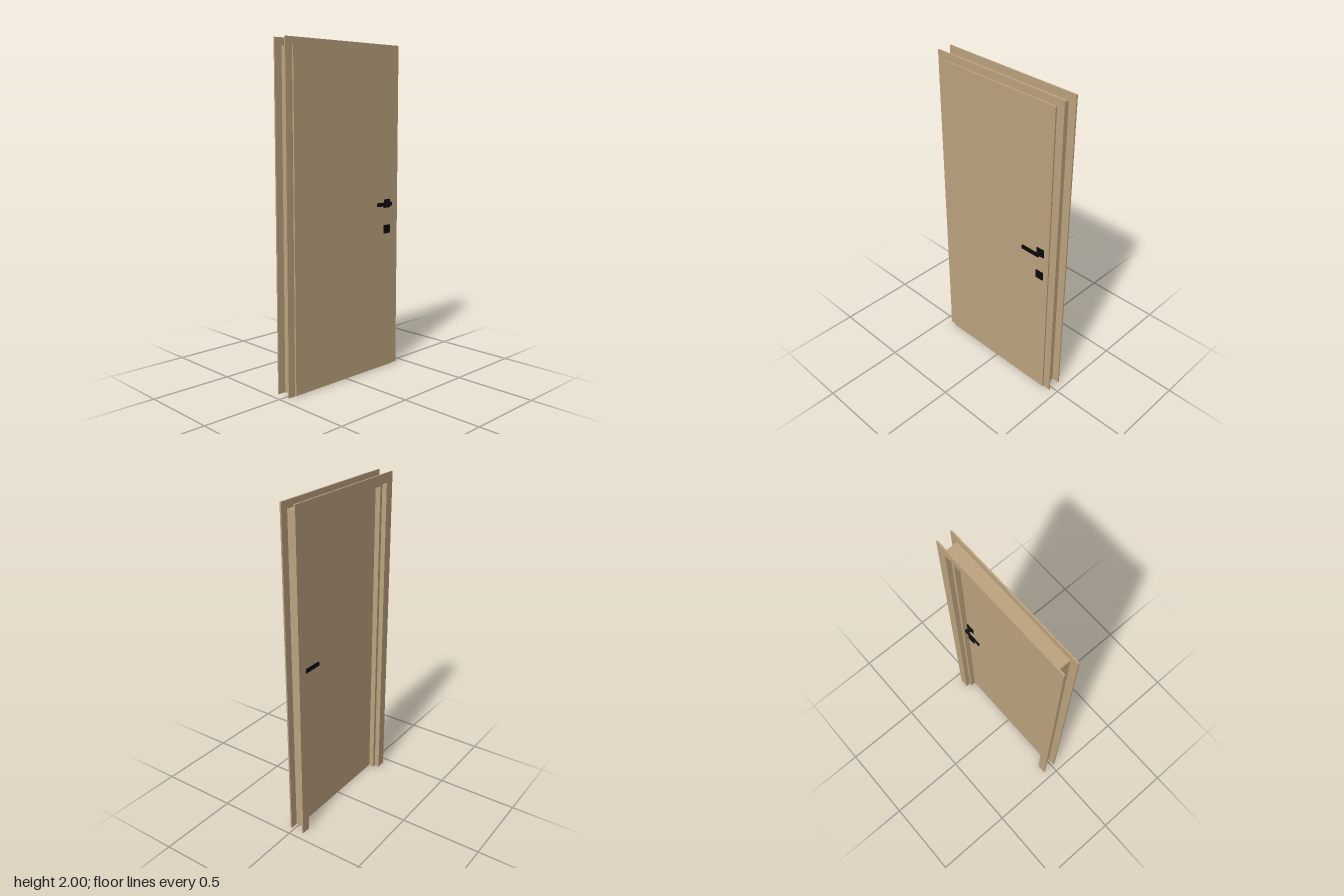
import * as THREE from 'three';

export function createModel() {
  const model = new THREE.Group();
  model.name = 'interiorDoor';

  const wood = new THREE.MeshStandardMaterial({ color: 0xbea480 });
  wood.name = 'tan wood';
  const black = new THREE.MeshStandardMaterial({ color: 0x0a0a0a });
  black.name = 'black metal';

  // Box given by its minimum and maximum corners
  function box(parent, name, material, [x0, y0, z0], [x1, y1, z1]) {
    const mesh = new THREE.Mesh(new THREE.BoxGeometry(x1 - x0, y1 - y0, z1 - z0), material);
    mesh.position.set((x0 + x1) / 2, (y0 + y1) / 2, (z0 + z1) / 2);
    mesh.name = name;
    parent.add(mesh);
  }

  // Three-sided surround, open at the floor
  function surround(name, outerX, outerY, innerX, innerY, z0, z1) {
    const shape = new THREE.Shape([
      [-outerX, 0], [-innerX, 0], [-innerX, innerY], [innerX, innerY],
      [innerX, 0], [outerX, 0], [outerX, outerY], [-outerX, outerY],
    ].map(([x, y]) => new THREE.Vector2(x, y)));
    const geometry = new THREE.ExtrudeGeometry(shape, { depth: z1 - z0, bevelEnabled: false });
    geometry.translate(0, 0, z0);
    const mesh = new THREE.Mesh(geometry, wood);
    mesh.name = name;
    model.add(mesh);
  }

  // Frame: casings on both wall faces, the lining between them, and the stop
  surround('frontCasing', 0.452, 2, 0.393, 1.943, 0.017, 0.026);
  surround('backCasing', 0.452, 2, 0.393, 1.943, -0.07, -0.061);
  surround('jambLining', 0.405, 1.955, 0.393, 1.943, -0.061, 0.017);
  surround('doorStop', 0.393, 1.943, 0.373, 1.923, -0.04, -0.008);

  // Rebated leaf: body inside the frame, wider face overlapping the casing
  const leaf = new THREE.Group();
  leaf.name = 'doorLeaf';
  box(leaf, 'leafBody', wood, [-0.39, 0.003, -0.007], [0.39, 1.94, 0.026]);
  box(leaf, 'leafFace', wood, [-0.405, 0.003, 0.0262], [0.405, 1.955, 0.036]);
  model.add(leaf);

  // Handle sets, mirrored onto both faces of the leaf
  for (const [side, faceZ, dir] of [['front', 0.036, 1], ['back', -0.007, -1]]) {
    const handle = new THREE.Group();
    handle.name = side + 'Handle';
    const part = (name, x0, x1, y0, y1, d0, d1) => {
      const a = faceZ + dir * d0, b = faceZ + dir * d1;
      box(handle, name, black, [x0, y0, Math.min(a, b)], [x1, y1, Math.max(a, b)]);
    };
    part('rosePlate', 0.318, 0.371, 1.015, 1.067, 0, 0.005);
    part('lockPlate', 0.318, 0.371, 0.855, 0.907, 0, 0.005);
    part('neck', 0.334, 0.356, 1.03, 1.052, 0.005, 0.034);
    part('lever', 0.232, 0.334, 1.03, 1.052, 0.025, 0.034);
    model.add(handle);
  }

  return model;
}
